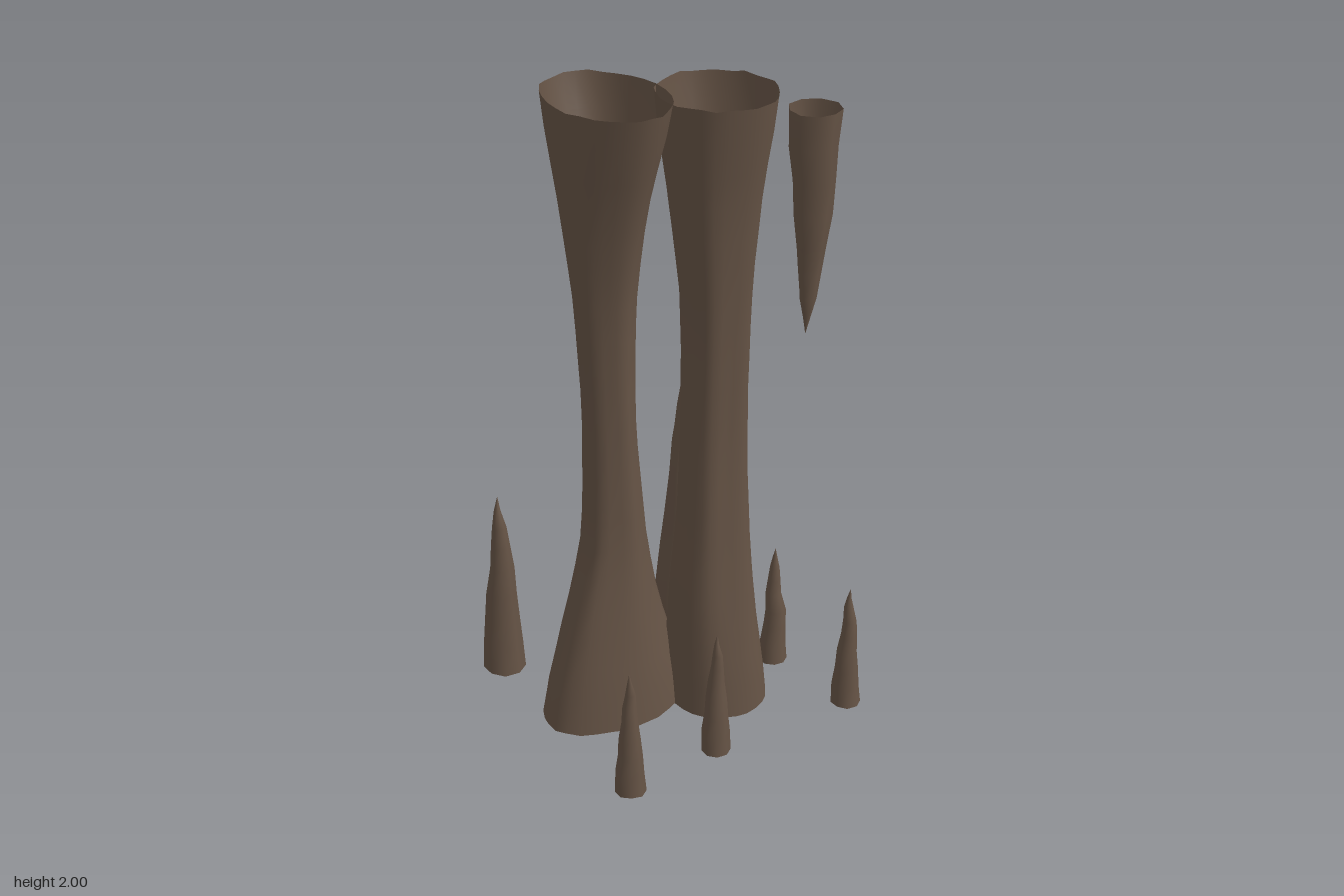
import * as THREE from 'three';

const rock = new THREE.MeshStandardMaterial({ color: 0x655345, side: THREE.DoubleSide });
rock.name = 'brown rock';

function seeded(seed) {
  return () => {
    seed = (seed * 16807) % 2147483647;
    return seed / 2147483647 - 0.5;
  };
}

// Open tube whose vertices come from point(angle, row), with rows running upwards
function skin(name, sides, rows, point) {
  const pos = [], index = [];
  for (let j = 0; j < rows; j++) {
    for (let i = 0; i < sides; i++) pos.push(...point((i / sides) * Math.PI * 2, j));
  }
  for (let j = 0; j < rows - 1; j++) {
    for (let i = 0; i < sides; i++) {
      const a = j * sides + i, c = j * sides + ((i + 1) % sides);
      index.push(a, a + sides, c, c, a + sides, c + sides);
    }
  }
  const g = new THREE.BufferGeometry();
  g.setAttribute('position', new THREE.Float32BufferAttribute(pos, 3));
  g.setIndex(index);
  g.computeVertexNormals();
  const mesh = new THREE.Mesh(g, rock);
  mesh.name = name;
  return mesh;
}

// Linear blend with smooth ends through sections [y, cx, cz, rx, rz]
function sectionAt(list, y) {
  let k = 0;
  while (k < list.length - 2 && y > list[k + 1][0]) k++;
  const get = (n) => list[Math.min(list.length - 1, Math.max(0, n))];
  const t = (y - list[k][0]) / (list[k + 1][0] - list[k][0]);
  return [1, 2, 3, 4].map((c) => {
    const p0 = get(k - 1)[c], p1 = get(k)[c], p2 = get(k + 1)[c], p3 = get(k + 2)[c];
    return 0.5 * (2 * p1 + (p2 - p0) * t + (2 * p0 - 5 * p1 + 4 * p2 - p3) * t * t
      + (3 * p1 - p0 - 3 * p2 + p3) * t * t * t);
  });
}

// Fluted rock column, flared at both ends
function column(name, sections, phase, seed) {
  const rnd = seeded(seed), rows = 21;
  return skin(name, 28, rows, (a, j) => {
    const y = (j / (rows - 1)) * 1.99 + 0.005;
    const [cx, cz, rx, rz] = sectionAt(sections, y);
    const mid = Math.sin((Math.PI * y) / 2);
    const flute = 1 + (0.015 + 0.05 * mid) * Math.sin(5 * a + phase + 0.5 * Math.sin(2 * y))
      + 0.025 * mid * Math.sin(3 * a - phase + 2 * y) + 0.03 * mid * rnd();
    const lift = 0.008 * rnd();
    return [cx + Math.cos(a) * rx * flute, y + lift, cz + Math.sin(a) * rz * flute];
  });
}

// Rough spike: radius against height, from wide end to tip
const spikeProfile = [[0, 1], [0.15, 0.93], [0.3, 0.8], [0.45, 0.7], [0.6, 0.54], [0.72, 0.44],
  [0.83, 0.33], [0.92, 0.16], [1, 0.005]];

function spike(name, x, z, r, baseY, tipY, seed) {
  const rnd = seeded(seed);
  const down = tipY < baseY;
  const profile = down ? [...spikeProfile].reverse() : spikeProfile;
  const drift = profile.map(() => [rnd() * 0.12 * r, rnd() * 0.12 * r]);
  return skin(name, 9, profile.length, (a, j) => {
    const [t, s] = profile[j];
    const rr = r * s * (1 + 0.12 * rnd());
    const dx = t > 0 ? drift[j][0] : 0, dz = t > 0 ? drift[j][1] : 0;
    return [x + dx + Math.cos(a) * rr, baseY + (tipY - baseY) * t, z + dz + Math.sin(a) * rr];
  });
}

export function createModel() {
  const model = new THREE.Group();
  model.name = 'caveColumns';

  // The two columns, standing side by side
  model.add(column('rearColumn', [
    [0, -0.18, -0.035, 0.248, 0.165],
    [0.35, -0.185, -0.035, 0.155, 0.12],
    [0.6, -0.175, -0.035, 0.1, 0.092],
    [1, -0.183, -0.035, 0.077, 0.078],
    [1.4, -0.19, -0.035, 0.09, 0.088],
    [1.7, -0.185, -0.04, 0.122, 0.145],
    [2, -0.172, -0.043, 0.163, 0.222],
  ], 0.4, 11));
  model.add(column('frontColumn', [
    [0, 0.115, 0.097, 0.157, 0.172],
    [0.4, 0.1, 0.095, 0.13, 0.128],
    [0.7, 0.1, 0.095, 0.108, 0.102],
    [1, 0.102, 0.095, 0.1, 0.094],
    [1.4, 0.1, 0.1, 0.104, 0.104],
    [1.7, 0.1, 0.095, 0.135, 0.132],
    [2, 0.102, 0.09, 0.168, 0.178],
  ], 1.9, 23));

  // Stalagmites: x, z, radius, tip height
  [
    [0.235, -0.235, 0.11, 1.0],
    [-0.378, -0.377, 0.07, 0.64],
    [-0.01, -0.345, 0.047, 0.43],
    [0.355, 0.085, 0.047, 0.43],
    [-0.397, 0.378, 0.047, 0.43],
    [-0.077, 0.365, 0.047, 0.43],
    [0.4, 0.4, 0.047, 0.43],
  ].forEach(([x, z, r, h], i) => model.add(spike('stalagmite' + (i + 1), x, z, r, 0.015, h, 101 + i * 37)));

  // Hanging spike
  model.add(spike('stalactite', 0.23, 0.355, 0.074, 1.995, 1.33, 77));
  return model;
}
